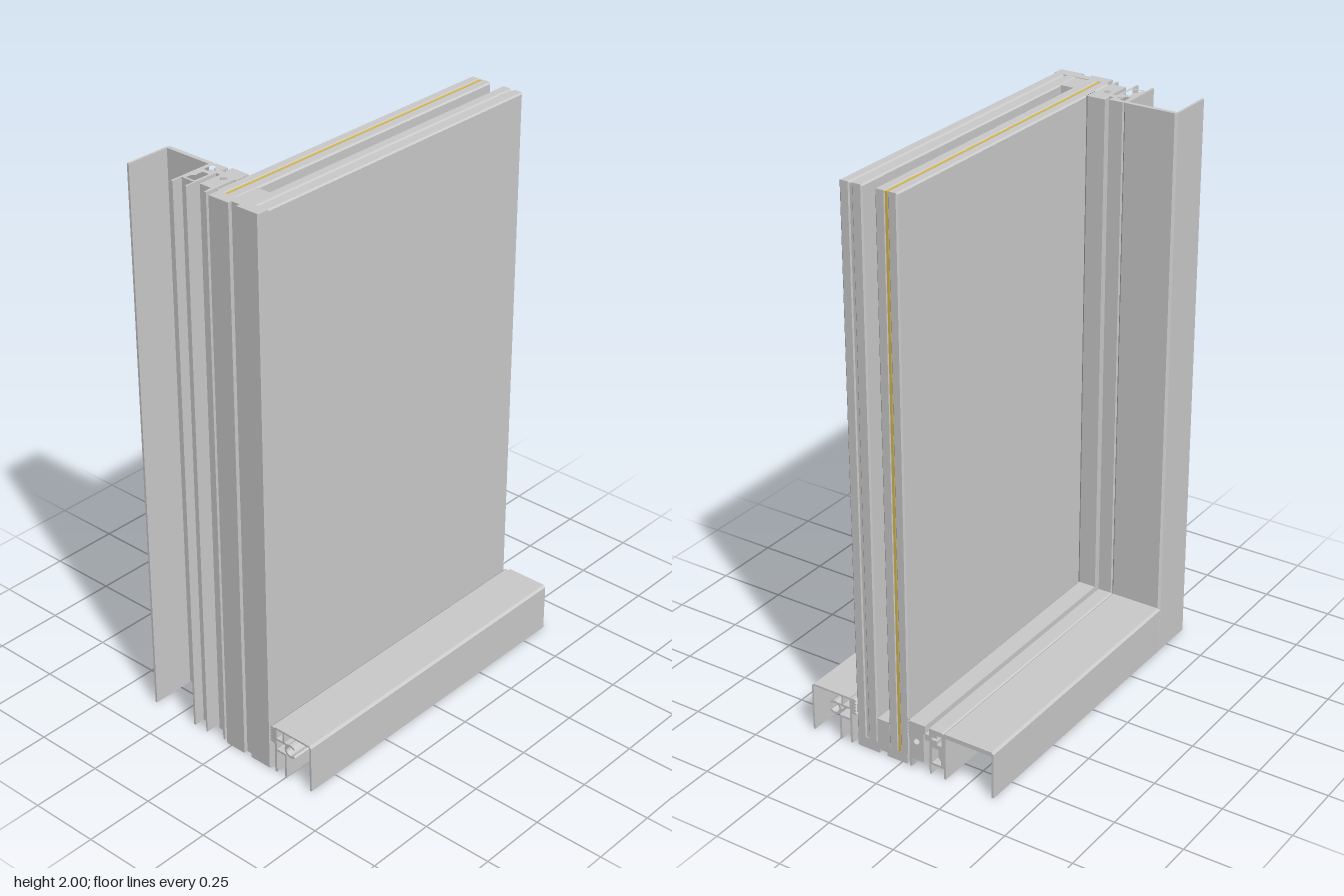
import * as THREE from 'three';

// Cross-sections are lists of [d, z]: d is the distance in from the outer edge, z the depth.
// The same section serves the upright (d along x) and the sill (d along y).
const EDGE = -0.615;
const grey = new THREE.MeshStandardMaterial({ color: 0xcccccc });
const amber = new THREE.MeshStandardMaterial({ color: 0xd9bb55 });

const rect = (d0, d1, z0, z1) => [[d0, z0], [d1, z0], [d1, z1], [d0, z1]];
const ring = (d, z, r, n = 12) => Array.from({ length: n }, (_, i) => {
  const a = (i / n) * Math.PI * 2;
  return [d + r * Math.cos(a), z + r * Math.sin(a)];
});

function sweep(map, outline, holes, length) {
  const points = list => list.map(([d, z]) => new THREE.Vector2(...map(d, z)));
  const shape = new THREE.Shape(points(outline));
  for (const hole of holes) shape.holes.push(new THREE.Path(points(hole)));
  return new THREE.ExtrudeGeometry(shape, { depth: length, bevelEnabled: false });
}

function upright(name, outline, holes = [], y0 = 0, y1 = 2) {
  const g = sweep((d, z) => [d, -z], outline, holes, y1 - y0);
  g.rotateX(-Math.PI / 2).translate(EDGE, y0, 0);
  const mesh = new THREE.Mesh(g, grey);
  mesh.name = name;
  return mesh;
}

function sill(name, outline, holes = [], x0 = EDGE, x1 = 0.607) {
  const g = sweep((d, z) => [-z, d], outline, holes, x1 - x0);
  g.rotateY(Math.PI / 2).translate(x0, 0, 0);
  const mesh = new THREE.Mesh(g, grey);
  mesh.name = name;
  return mesh;
}

// Sheet with chamfered edges between depths z0 and z1
function sheet(name, z0, z1, material = grey, bevel = 0.005, inset = 0) {
  const x0 = -0.575 + inset + bevel, x1 = 0.607 - inset - bevel;
  const y0 = 0.04 + inset + bevel, y1 = 2 - inset - bevel;
  const shape = new THREE.Shape([[x0, y0], [x1, y0], [x1, y1], [x0, y1]].map(p => new THREE.Vector2(...p)));
  const g = new THREE.ExtrudeGeometry(shape, {
    depth: z1 - z0 - 2 * bevel, bevelEnabled: bevel > 0,
    bevelThickness: bevel, bevelSize: bevel, bevelSegments: 1,
  });
  g.translate(0, 0, z0 + bevel);
  const mesh = new THREE.Mesh(g, material);
  mesh.name = name;
  return mesh;
}

// Inner frame: open channel at the back with a hollow rebate in front of it
const frame = [
  [0, -0.362], [0.167, -0.362], [0.175, -0.354], [0.175, -0.172], [0.171, -0.167], [0.175, -0.162],
  [0.175, -0.112], [0, -0.112], [0, -0.118], [0.038, -0.118], [0.038, -0.168], [0, -0.168],
  [0, -0.176], [0.159, -0.176], [0.159, -0.354], [0, -0.354],
];
const frameHoles = [
  [[0.046, -0.158], [0.062, -0.158], [0.075, -0.148], [0.106, -0.148], [0.106, -0.122], [0.046, -0.122]],
  [[0.122, -0.16], [0.158, -0.16], [0.158, -0.142], [0.146, -0.142], [0.146, -0.122], [0.136, -0.122], [0.136, -0.142], [0.122, -0.142]],
];

// Carrier between frame and glass, with a lip towards the outer edge
const carrier = [
  [0.04, -0.095], [0.15, -0.095], [0.155, -0.101], [0.183, -0.101], [0.183, -0.038],
  [0.008, -0.038], [0.008, -0.046], [0.04, -0.05],
];
const carrierHoles = [ring(0.112, -0.067, 0.012)];
const connector = rect(0.125, 0.148, -0.114, -0.092);

// Toothed gasket pressed against the inner pane
const gasket = [[0.183, -0.04], [0.125, -0.04]];
for (let i = 0; i <= 10; i++) gasket.push([0.125 + i * 0.0058, i % 2 ? -0.026 : -0.036]);

// Edge seals and the recessed strip between them
const seals = [
  ['innerEdgeSeal', rect(0, 0.042, -0.02, 0.06)],
  ['edgeSealRecess', rect(0.014, 0.042, 0.06, 0.092)],
  ['outerEdgeSeal', [[0, 0.092], [0.042, 0.092], [0.042, 0.18], [0.005, 0.18], [0, 0.175]]],
];

function buildFrame() {
  const group = new THREE.Group();
  group.name = 'innerFrame';
  group.add(
    upright('uprightFrame', frame, frameHoles),
    upright('uprightConnector', connector),
    upright('uprightCarrier', carrier, carrierHoles),
    upright('uprightGasket', gasket),
    sill('sillFrame', frame, frameHoles, -0.445),
    sill('sillConnector', connector, [], -0.445),
    sill('sillCarrier', carrier, carrierHoles, -0.435, 0.615),
    sill('sillGasket', gasket, [], -0.435),
  );
  for (const [name, outline] of seals) {
    group.add(upright(name + 'Upright', outline), sill(name + 'Sill', outline, [], -0.578, 0.604));
  }
  return group;
}

function buildGlazing() {
  const group = new THREE.Group();
  group.name = 'glazing';
  group.add(
    sheet('outerPane', 0.142, 0.18),
    sheet('outerInterlayer', 0.134, 0.143, grey, 0, 0.004),
    sheet('secondPane', 0.096, 0.135),
    sheet('thirdPane', 0.012, 0.05),
    sheet('innerInterlayer', 0.004, 0.013, amber, 0, 0.001),
    sheet('innerPane', -0.031, 0.005),
    upright('uprightSpacer', rect(0.04, 0.135, 0.048, 0.098), [], 0.04, 1.998),
    sill('sillSpacer', rect(0.04, 0.135, 0.048, 0.098), [], -0.49, 0.605),
  );
  return group;
}

// Front cover along the sill, open underneath, clipped to a pressure plate
function buildCover() {
  const group = new THREE.Group();
  group.name = 'frontCover';
  const shell = [
    [0, 0.361], [0.172, 0.361], [0.18, 0.353], [0.18, 0.203], [0.173, 0.203],
    [0.173, 0.354], [0, 0.354],
  ];
  const plate = [
    [0, 0.2], [0.174, 0.2], [0.174, 0.209], [0.094, 0.209], [0.094, 0.252], [0, 0.252],
    [0, 0.244], [0.086, 0.244], [0.086, 0.209], [0, 0.209],
  ];
  // C-shaped clip
  const clip = [];
  for (let i = 0; i <= 10; i++) {
    const a = 0.7 + (i / 10) * 4.9;
    clip.push([0.115 + 0.026 * Math.sin(a), 0.27 + 0.026 * Math.cos(a)]);
  }
  for (let i = 10; i >= 0; i--) {
    const a = 0.7 + (i / 10) * 4.9;
    clip.push([0.115 + 0.018 * Math.sin(a), 0.27 + 0.018 * Math.cos(a)]);
  }
  // Toothed outer gasket
  const outerGasket = [[0.176, 0.202], [0.115, 0.202]];
  for (let i = 0; i <= 10; i++) outerGasket.push([0.115 + i * 0.0061, i % 2 ? 0.18 : 0.188]);
  group.add(
    sill('coverShell', shell, [], EDGE, 0.612),
    sill('pressurePlate', plate),
    sill('coverClip', clip),
    sill('clipArm', rect(0.13, 0.138, 0.207, 0.26)),
    sill('coverHook', rect(0.135, 0.176, 0.236, 0.243)),
    sill('outerGasket', outerGasket),
  );
  return group;
}

export function createModel() {
  const model = new THREE.Group();
  model.name = 'glazedWallCorner';
  model.add(buildFrame(), buildGlazing(), buildCover());
  return model;
}
